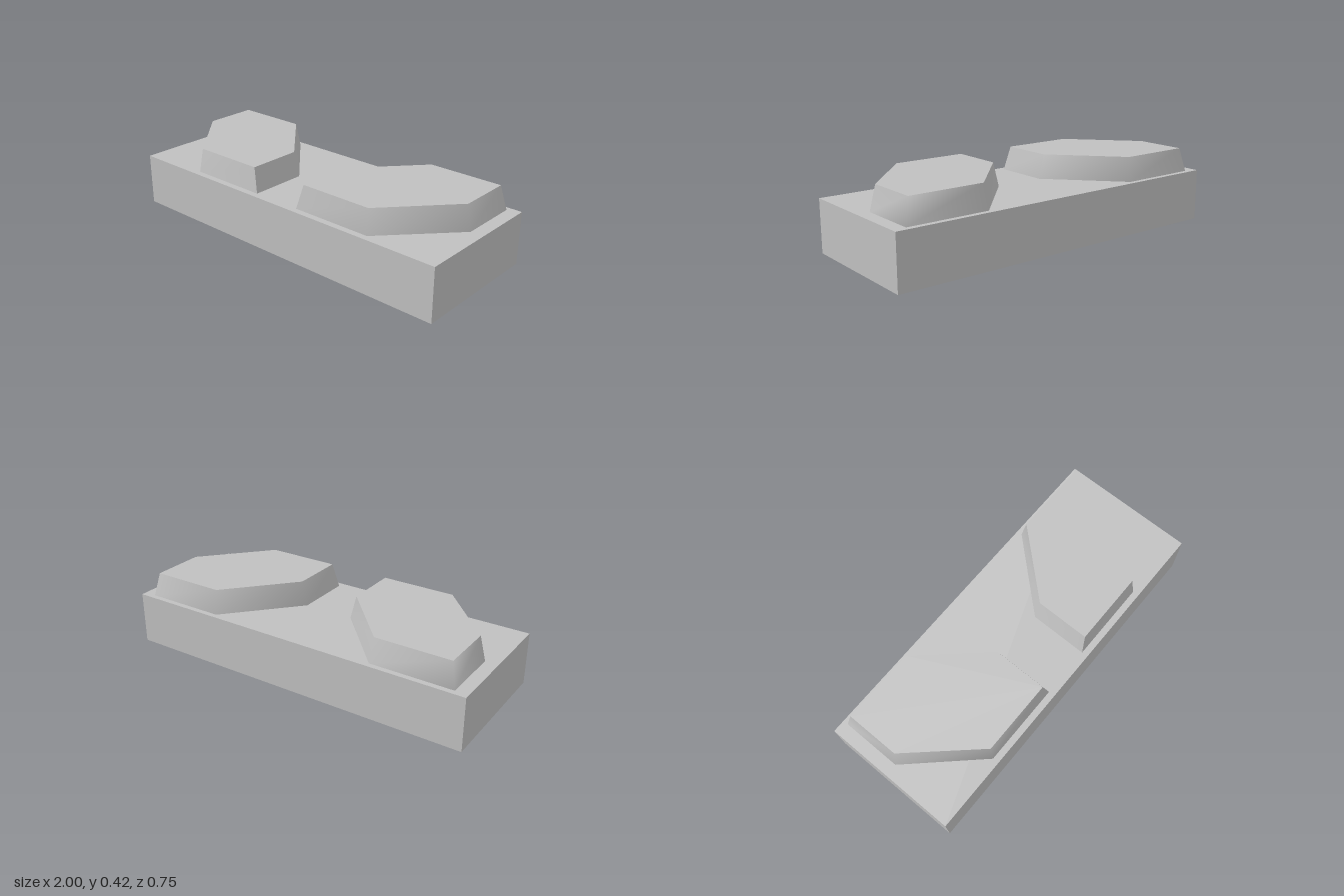
import * as THREE from 'three';

const BASE_TOP = 0.29;
const PAD_TOP = 0.423;

// Footprint corners as [bottom x, bottom z, top x, top z], counter-clockwise from above,
// starting at the crisp inner front corner.
const OUTLINE = [
  [0.14, 0.342, 0.174, 0.322],
  [0.594, 0.342, 0.582, 0.322],
  [0.93, -0.018, 0.9, -0.028],
  [0.93, -0.348, 0.9, -0.323],
  [0.478, -0.348, 0.488, -0.323],
  [0.14, 0.022, 0.174, 0.024],
];

// Tapered six-sided pad; side is +1 for left, -1 for right
function createPad(side, material) {
  let corners = OUTLINE.map(([bx, bz, tx, tz]) => [bx * side, bz, tx * side, tz]);
  if (side < 0) corners = [corners[0], ...corners.slice(1).reverse()];

  const n = corners.length;
  const positions = [];
  const index = [];

  // Smooth flank, left open at the seam corner
  for (let i = 0; i <= n; i++) {
    const [bx, bz, tx, tz] = corners[i % n];
    positions.push(bx, BASE_TOP, bz, tx, PAD_TOP, tz);
    if (i < n) {
      const a = i * 2;
      index.push(a, a + 2, a + 3, a, a + 3, a + 1);
    }
  }

  // Flat top with its own vertices
  const start = positions.length / 3;
  corners.forEach(([, , tx, tz]) => positions.push(tx, PAD_TOP, tz));
  for (let i = 1; i < n - 1; i++) index.push(start, start + i, start + i + 1);

  const geometry = new THREE.BufferGeometry();
  geometry.setAttribute('position', new THREE.Float32BufferAttribute(positions, 3));
  geometry.setIndex(index);
  geometry.computeVertexNormals();
  return new THREE.Mesh(geometry, material);
}

export function createModel() {
  const grey = new THREE.MeshStandardMaterial({ color: 0xc0c0c0 });
  grey.name = 'light grey';

  const model = new THREE.Group();
  model.name = 'blockWithPads';

  // Base block
  const base = new THREE.Mesh(new THREE.BoxGeometry(2, BASE_TOP, 0.754), grey);
  base.position.y = BASE_TOP / 2;
  base.name = 'base';
  model.add(base);

  // Mirrored raised pads
  for (const side of [1, -1]) {
    const pad = createPad(side, grey);
    pad.name = side > 0 ? 'leftPad' : 'rightPad';
    model.add(pad);
  }
  return model;
}
